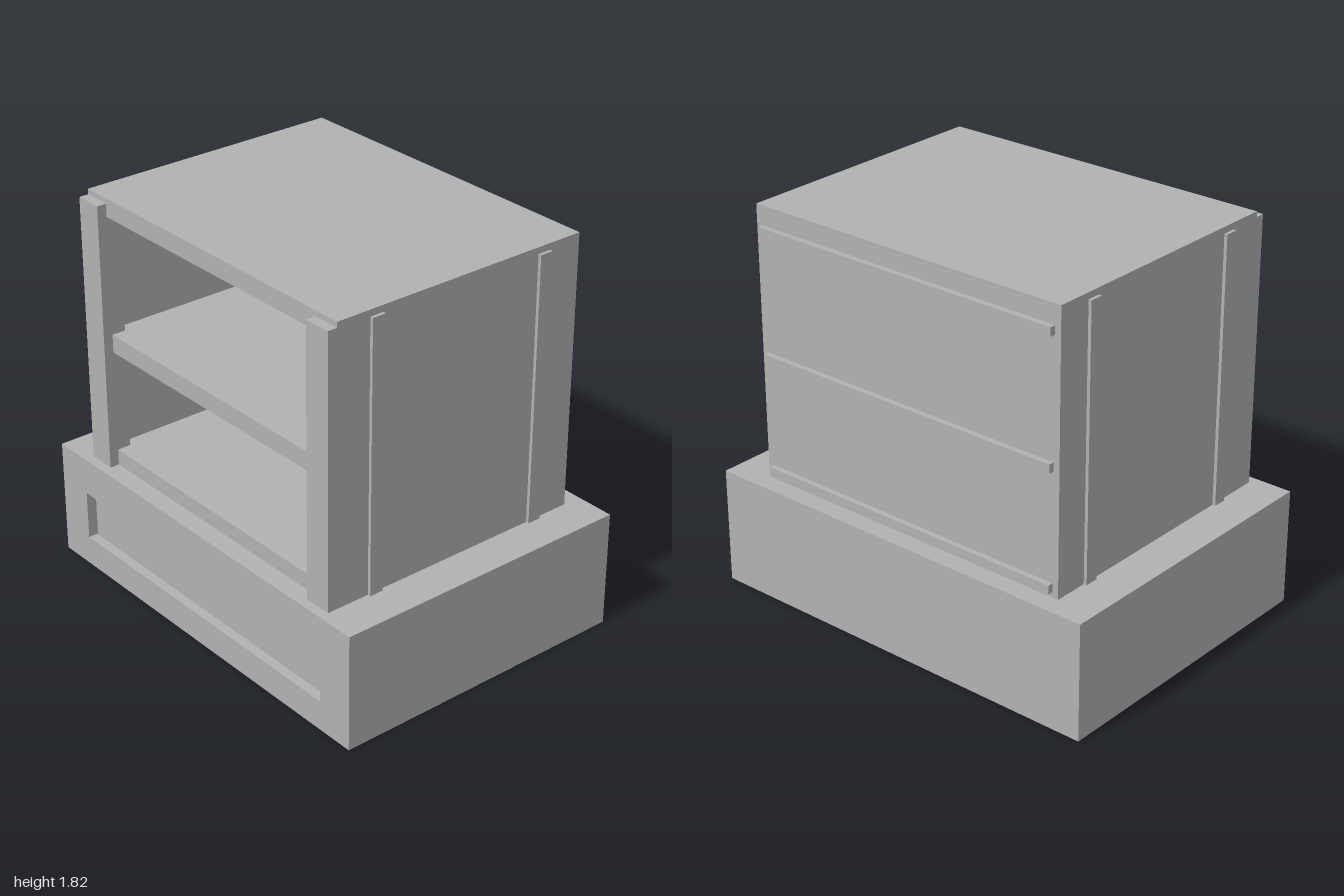
import * as THREE from 'three';

export function createModel() {
  const model = new THREE.Group();
  const grey = new THREE.MeshStandardMaterial({ color: 0xb2b2b2 });
  grey.name = 'grey';

  // Box given by its limits on each axis
  function block(name, [x0, x1], [y0, y1], [z0, z1]) {
    const mesh = new THREE.Mesh(new THREE.BoxGeometry(x1 - x0, y1 - y0, z1 - z0), grey);
    mesh.position.set((x0 + x1) / 2, (y0 + y1) / 2, (z0 + z1) / 2);
    mesh.name = name;
    model.add(mesh);
  }

  const BASE_TOP = 0.545, TOP = 1.82, HALF_W = 0.815, HALF_D = 0.635, WALL = 0.085;
  const INNER = HALF_W - WALL;

  // Base: solid body with a framed front around the drawer recess
  const recessZ = 0.62;
  block('baseBody', [-1, 1], [0, BASE_TOP], [-0.725, recessZ]);
  const frame = new THREE.Shape();
  frame.moveTo(-1, 0).lineTo(1, 0).lineTo(1, BASE_TOP).lineTo(-1, BASE_TOP).closePath();
  const opening = new THREE.Path();
  opening.moveTo(-0.82, 0.14).lineTo(-0.82, 0.37).lineTo(0.82, 0.37).lineTo(0.82, 0.14).closePath();
  frame.holes.push(opening);
  const front = new THREE.Mesh(
    new THREE.ExtrudeGeometry(frame, { depth: 0.725 - recessZ, bevelEnabled: false }), grey);
  front.position.z = recessZ;
  front.name = 'baseFrontFrame';
  model.add(front);
  block('drawerFront', [-0.8, 0.8], [0.15, 0.36], [recessZ, 0.69]);

  // Cabinet shell and shelves
  block('topPanel', [-HALF_W, HALF_W], [TOP - WALL, TOP], [-HALF_D, HALF_D]);
  block('backPanel', [-INNER, INNER], [BASE_TOP, TOP - WALL], [-HALF_D, -HALF_D + WALL]);
  block('floorPanel', [-INNER, INNER], [BASE_TOP, 0.62], [-HALF_D + WALL, HALF_D]);
  block('middleShelf', [-INNER, INNER], [1.1, 1.185], [-HALF_D + WALL, HALF_D]);

  for (const s of [-1, 1]) {
    const side = s < 0 ? 'right' : 'left';
    const span = (a, b) => (s < 0 ? [-b, -a] : [a, b]);
    block(side + 'Wall', span(INNER, HALF_W), [BASE_TOP, TOP - WALL], [-HALF_D, HALF_D]);

    // Front post: inner part under the top panel, face standing proud of it
    block(side + 'PostCore', span(0.685, INNER), [BASE_TOP, TOP - WALL], [0.57, HALF_D]);
    block(side + 'PostFace', span(0.685, HALF_W), [BASE_TOP, 1.795], [HALF_D, 0.68]);

    // Upright battens on the side walls
    for (const z of [-0.44, 0.44]) {
      block(side + 'SideBatten', span(HALF_W, 0.83), [BASE_TOP, 1.79], [z - 0.032, z + 0.032]);
    }
  }

  // Horizontal rails on the back
  for (const y of [0.59, 1.13, 1.71]) {
    block('backRail', [-0.785, 0.785], [y - 0.02, y + 0.02], [-0.66, -HALF_D]);
  }

  return model;
}
